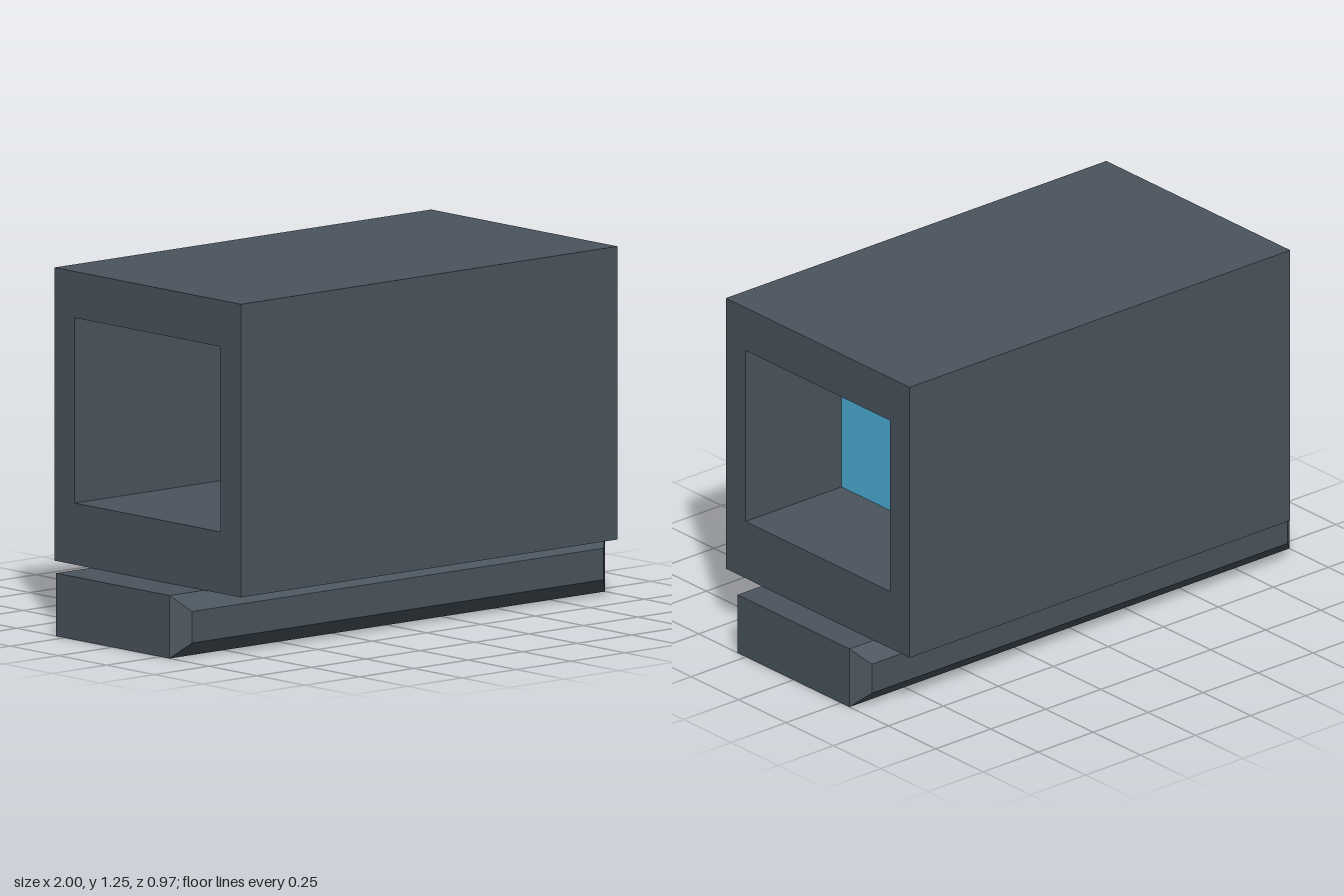
import * as THREE from 'three';

const mat = (name, color) => {
  const m = new THREE.MeshStandardMaterial({ color });
  m.name = name;
  return m;
};

// Rectangle outline usable as a shape or a hole
const rect = (Type, x0, y0, x1, y1) => {
  const p = new Type();
  p.moveTo(x0, y0);
  p.lineTo(x1, y0);
  p.lineTo(x1, y1);
  p.lineTo(x0, y1);
  p.closePath();
  return p;
};

export function createModel() {
  const group = new THREE.Group();
  group.name = 'opticSight';
  const grey = mat('slateGrey', 0x4a545e);
  const blue = mat('lensBlue', 0x4cb2da);
  const red = mat('reticleRed', 0xd83b57);

  const add = (name, geometry, material) => {
    const mesh = new THREE.Mesh(geometry, material);
    mesh.name = name;
    group.add(mesh);
    return mesh;
  };

  // Mounting rail: long block with chamfered front and back faces
  const bevel = 0.055;
  const rail = new THREE.ExtrudeGeometry(rect(THREE.Shape, -0.945, bevel, 0.945, 0.165), {
    depth: 0.59, bevelEnabled: true, bevelSegments: 1, bevelSize: bevel, bevelThickness: bevel,
  });
  rail.translate(0, 0, -0.295);
  add('mountingRail', rail, grey);

  // Housing: square tube open at both ends, running along x
  const tube = rect(THREE.Shape, -0.485, 0.22, 0.485, 1.245);
  tube.holes.push(rect(THREE.Path, -0.38, 0.435, 0.38, 1.083));
  const housing = new THREE.ExtrudeGeometry(tube, { depth: 1.73, bevelEnabled: false });
  housing.rotateY(Math.PI / 2).translate(-0.84, 0, 0);
  add('housing', housing, grey);

  // Lens pane filling the opening
  const lens = new THREE.BoxGeometry(0.008, 0.648, 0.76);
  add('lens', lens, blue).position.set(0.45, 0.759, 0);

  // Aiming dot: small faceted bead in front of the lens
  const profile = [[0, -0.049], [0.022, -0.049], [0.043, -0.034], [0.043, 0.034], [0.022, 0.049], [0, 0.049]]
    .map(([r, y]) => new THREE.Vector2(r, y));
  const dot = new THREE.LatheGeometry(profile, 8).toNonIndexed();
  dot.computeVertexNormals();
  add('aimingDot', dot, red).position.set(0.465, 0.759, 0);

  return group;
}
